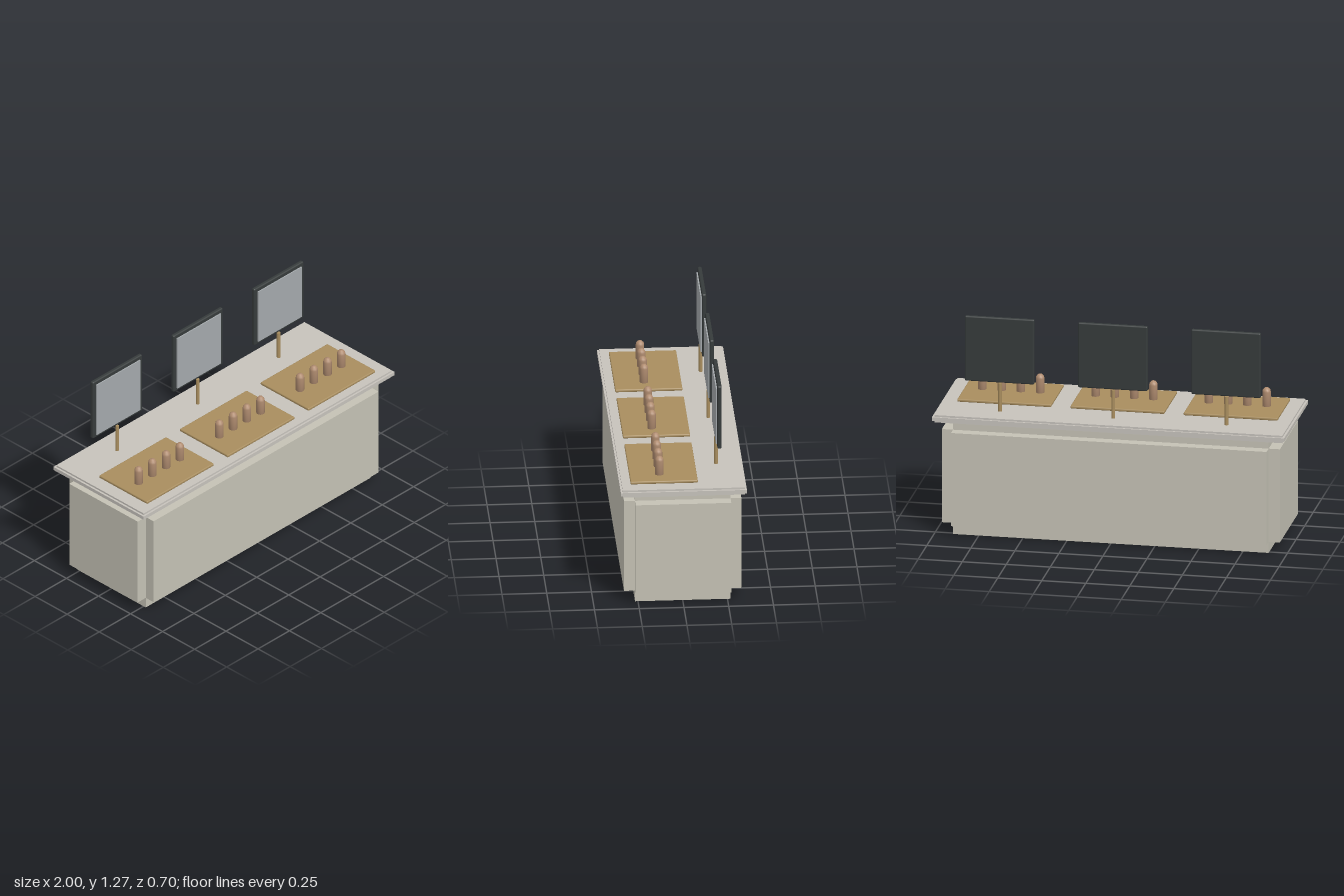
import * as THREE from 'three';
import { RoundedBoxGeometry } from 'three/addons/geometries/RoundedBoxGeometry.js';

const mat = (color) => new THREE.MeshStandardMaterial({ color });
const stone = mat(0xc4c1b4);
const slab = mat(0xc6c2bb);
const wood = mat(0xa88d5e);
const clay = mat(0xb08c70);
const dark = mat(0x363b3b);
const glass = mat(0xa4a9ac);

function add(parent, name, geometry, material, x, y, z) {
  const mesh = new THREE.Mesh(geometry, material);
  mesh.name = name;
  mesh.position.set(x, y, z);
  parent.add(mesh);
  return mesh;
}

const box = (w, h, d) => new THREE.BoxGeometry(w, h, d);

// One place at the counter: board, four pegs, and a screen on a post
function createStation() {
  const station = new THREE.Group();
  station.name = 'station';

  add(station, 'board', new RoundedBoxGeometry(0.534, 0.017, 0.376, 2, 0.006), wood, 0, 0.7235, 0.104);

  // Pegs with a domed top
  const profile = [
    [0, 0.73], [0.024, 0.73], [0.024, 0.815], [0.0215, 0.827], [0.012, 0.838], [0, 0.84],
  ].map(([r, y]) => new THREE.Vector2(r, y));
  const pegGeometry = new THREE.LatheGeometry(profile, 16);
  for (let i = 0; i < 4; i++) {
    add(station, 'peg', pegGeometry, clay, (i - 1.5) * 0.1095, 0, 0.125);
  }

  // Post and screen
  add(station, 'post', new THREE.CylinderGeometry(0.0105, 0.0105, 0.166, 16), wood, 0, 0.797, -0.203);
  add(station, 'screenFrame', new RoundedBoxGeometry(0.394, 0.38, 0.024, 2, 0.008), dark, 0, 1.077, -0.21);
  add(station, 'screen', box(0.348, 0.336, 0.01), glass, 0, 1.075, -0.196);
  return station;
}

export function createModel() {
  const model = new THREE.Group();
  model.name = 'displayCounter';

  // Core with a raised panel on each of the four sides
  add(model, 'core', box(1.792, 0.672, 0.534), stone, 0, 0.336, 0);
  for (const s of [-1, 1]) {
    add(model, s > 0 ? 'frontPanel' : 'backPanel', box(1.792, 0.546, 0.063), stone, 0, 0.338, s * 0.2965);
    add(model, s > 0 ? 'leftPanel' : 'rightPanel', box(0.066, 0.546, 0.534), stone, s * 0.927, 0.338, 0);
  }

  // Countertop with a slightly wider band around its edge
  add(model, 'countertop', box(1.976, 0.043, 0.682), slab, 0, 0.6935, 0);
  add(model, 'countertopBand', box(2, 0.021, 0.704), slab, 0, 0.694, 0);

  for (const i of [-1, 0, 1]) {
    const station = createStation();
    station.position.x = i * 0.643 - 0.001;
    model.add(station);
  }
  return model;
}
